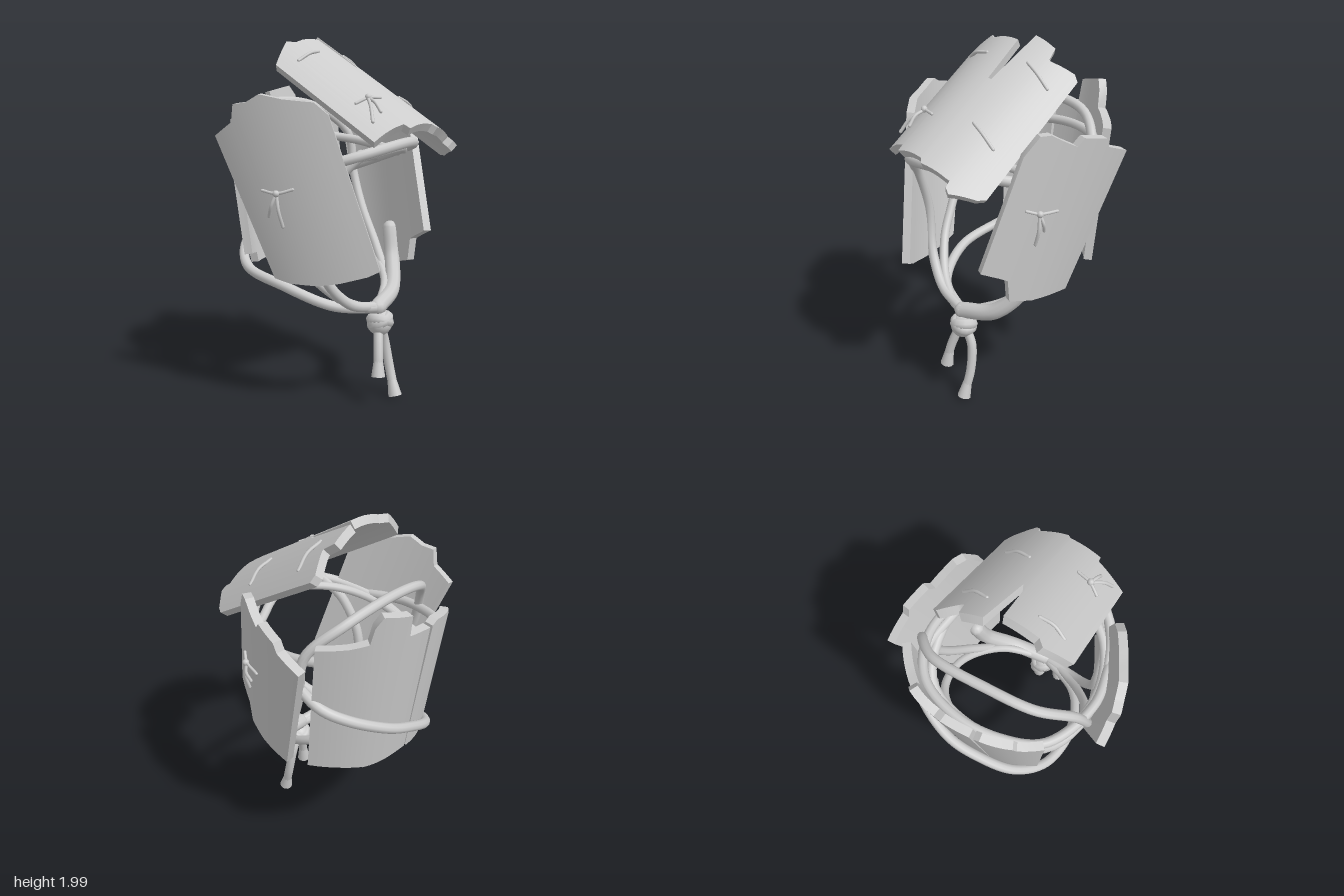
import * as THREE from 'three';
import { toCreasedNormals } from 'three/addons/utils/BufferGeometryUtils.js';

const V = (x, y, z) => new THREE.Vector3(x, y, z);

// Curved sheets: two coordinates in, a point on the outer face out
const side = (s) => (z, y) => {
  const w = z + 0.3 * (y - 1.13);
  return V(s * (0.2 * (y - 1.13) + 0.5 - 0.27 * w - 0.45 * w * w), y, z);
};
const browSheet = (x, z) => {
  const u = x - 0.02;
  return V(x, (1.605 - 0.07 * u - 1.25 * u * u - 0.53 * z) / 0.85, z);
};
const backSheet = (x, y) => {
  const u = x - 0.03;
  return V(x, y, -0.61 + (u > 0 ? 1.89 : 1.4) * Math.abs(u) ** 2.6 - 0.15 * (y - 1.55));
};

function normalAt(sheet, a, b, out) {
  const e = 0.01, p = sheet(a, b);
  const n = sheet(a + e, b).sub(p).cross(sheet(a, b + e).sub(p)).normalize();
  return n.dot(out) < 0 ? n.negate() : n;
}

export function createModel() {
  const model = new THREE.Group();
  const mat = new THREE.MeshStandardMaterial({ color: 0xcccccc, side: THREE.DoubleSide });

  function add(name, geo, parent = model) {
    const m = new THREE.Mesh(geo, mat);
    m.name = name;
    parent.add(m);
    return m;
  }

  // Thick bent board; each column runs from one end (a0,b0) to the other (a1,b1)
  function plate(name, sheet, out, cols, thick = 0.045) {
    const rings = [];
    const ring = ([a0, b0, a1, b1]) => {
      const p = sheet(a0, b0), q = sheet(a1, b1);
      const pi = p.clone().addScaledVector(normalAt(sheet, a0, b0, out), -thick);
      const qi = q.clone().addScaledVector(normalAt(sheet, a1, b1, out), -thick);
      rings.push([p, q, qi, pi]);
    };
    cols.forEach((c, i) => {
      if (i) {
        const prev = cols[i - 1], steps = Math.abs(c[0] - prev[0]) > 0.06 ? 4 : 1;
        for (let k = 1; k <= steps; k++) ring(c.map((v, j) => prev[j] + (v - prev[j]) * k / steps));
      } else ring(c);
    });
    const tris = [];
    const quad = (a, b, c, d) => tris.push([a, b, c], [a, c, d]);
    for (let i = 1; i < rings.length; i++)
      for (let k = 0; k < 4; k++) {
        const l = (k + 1) % 4;
        quad(rings[i - 1][k], rings[i][k], rings[i][l], rings[i - 1][l]);
      }
    quad(...rings[0]);
    quad(...[...rings[rings.length - 1]].reverse());
    // Turn the faces outward
    const centre = rings[0][0];
    let vol = 0;
    for (const [a, b, c] of tris)
      vol += a.clone().sub(centre).dot(b.clone().sub(centre).cross(c.clone().sub(centre)));
    const pts = tris.flatMap(([a, b, c]) => (vol < 0 ? [a, c, b] : [a, b, c]));
    const geo = new THREE.BufferGeometry().setFromPoints(pts);
    geo.computeVertexNormals();
    add(name, toCreasedNormals(geo, 0.5));
  }

  function rope(name, pts, r, closed = false, parent = model) {
    const curve = new THREE.CatmullRomCurve3(pts.map((p) => (p.isVector3 ? p : V(...p))), closed);
    add(name, new THREE.TubeGeometry(curve, pts.length * 7, r, 10, closed), parent);
    if (!closed) for (const t of [0, 1]) {
      add(name + 'End', new THREE.SphereGeometry(r, 10, 6), parent).position.copy(curve.getPoint(t));
    }
  }

  // Small cord lying on a board, given in the board's own coordinates
  function stitch(name, sheet, out, pts, r = 0.01, parent = model) {
    rope(name, pts.map(([a, b, lift = 0.008]) =>
      sheet(a, b).addScaledVector(normalAt(sheet, a, b, out), lift)), r, false, parent);
  }
  function tie(name, sheet, out, [a, b], strand, tails) {
    const g = new THREE.Group();
    g.name = name;
    model.add(g);
    stitch('tieStrand', sheet, out, [strand[0], [a, b, 0.02], strand[1]], 0.008, g);
    for (const [ta, tb] of tails)
      stitch('tieTail', sheet, out, [[a, b, 0.02], [(a + ta) / 2, (b + tb) / 2, 0.035], [ta, tb, 0.02]], 0.009, g);
    add('tieKnot', new THREE.SphereGeometry(0.018, 10, 8), g).position
      .copy(sheet(a, b).addScaledVector(normalAt(sheet, a, b, out), 0.025));
  }

  const up = V(0, 0.85, 0.53), left = V(1, 0, 0), right = V(-1, 0, 0), back = V(0, 0, -1);
  const leftSheet = side(1), rightSheet = side(-1);

  // Brow board: columns in x,z from front edge to rear edge, with a split at the rear
  plate('browBoard', browSheet, up, [
    [-0.33, 0.46, -0.33, -0.15], [-0.2, 0.505, -0.19, -0.19], [-0.155, 0.52, -0.155, -0.155],
    [-0.15, 0.555, -0.15, -0.155], [0.03, 0.575, 0.03, -0.14], [0.035, 0.575, 0.04, 0.1],
    [0.055, 0.595, 0.06, 0.1], [0.1, 0.59, 0.1, -0.2], [0.2, 0.575, 0.22, -0.21],
    [0.22, 0.57, 0.23, -0.15], [0.225, 0.6, 0.24, -0.15], [0.25, 0.61, 0.26, -0.16],
    [0.35, 0.52, 0.35, -0.21], [0.375, 0.48, 0.375, -0.2]]);

  // Cheek boards: columns in z,y from bottom to top
  plate('leftCheekBoard', leftSheet, left, [
    [0.44, 0.93, 0.26, 1.535], [0.39, 0.905, 0.19, 1.63], [0.35, 0.885, 0.14, 1.63],
    [0.31, 0.862, 0.085, 1.595], [0.295, 0.735, 0.08, 1.592],
    [0.16, 0.7, 0.005, 1.55], [0.14, 0.7, -0.03, 1.59], [0.06, 0.695, -0.17, 1.56],
    [0.04, 0.695, -0.19, 1.51], [-0.07, 0.69, -0.34, 1.455]]);
  plate('rightCheekBoard', rightSheet, right, [
    [0.465, 0.8, 0.25, 1.58], [0.41, 0.77, 0.19, 1.64], [0.28, 0.73, 0.05, 1.655],
    [0.17, 0.71, -0.06, 1.68], [0.1, 0.71, -0.13, 1.64], [0.04, 0.71, -0.2, 1.63],
    [0.02, 0.71, -0.22, 1.54], [-0.07, 0.73, -0.33, 1.47]]);

  // Back boards: columns in x,y from bottom to top
  plate('backBoardWide', backSheet, back, [
    [-0.037, 0.745, -0.025, 1.55], [0.1, 0.75, 0.13, 1.57], [0.11, 0.75, 0.14, 1.69],
    [0.26, 0.755, 0.29, 1.725], [0.27, 0.76, 0.32, 1.67], [0.29, 0.765, 0.33, 1.58],
    [0.36, 0.78, 0.4, 1.56], [0.48, 0.8, 0.5, 1.545]]);
  plate('backBoardNarrow', backSheet, back, [
    [-0.3, 0.79, -0.36, 1.47], [-0.21, 0.78, -0.25, 1.5], [-0.2, 0.725, -0.235, 1.54],
    [-0.06, 0.735, -0.08, 1.57], [-0.043, 0.75, -0.045, 1.55]]);

  // Cords that hold the boards together
  rope('outerBackCord', [[0.42, 1.32, 0], [0.47, 1.26, -0.2], [0.47, 1.2, -0.35], [0.38, 1.13, -0.45],
    [0.18, 1.02, -0.545], [0, 0.93, -0.55], [-0.2, 0.82, -0.5], [-0.33, 0.73, -0.36],
    [-0.36, 0.67, -0.1], [-0.25, 0.57, 0.15], [0, 0.52, 0.28]], 0.028);
  rope('crownCord', [[0, 0.53, 0.28], [0.22, 0.6, 0.2], [0.36, 0.78, 0.04], [0.43, 1, -0.11],
    [0.47, 1.2, -0.2], [0.46, 1.45, -0.24], [0.31, 1.6, -0.355], [0, 1.64, -0.38], [-0.24, 1.6, -0.36],
    [-0.41, 1.46, -0.26], [-0.46, 1.2, -0.18], [-0.42, 1, -0.1], [-0.36, 0.78, 0.05],
    [-0.2, 0.59, 0.2]], 0.026, true);
  rope('browCord', [[0, 1.43, 0.44], [0.3, 1.4, 0.3], [0.44, 1.3, -0.03], [0.36, 1.18, -0.36],
    [0, 1.09, -0.46], [-0.34, 1.13, -0.37], [-0.45, 1.25, -0.03], [-0.31, 1.37, 0.34]], 0.028, true);
  rope('innerCord', [[0, 0.52, 0.28], [0.24, 0.64, 0.17], [0.38, 0.8, -0.06], [0.36, 0.92, -0.28],
    [0.22, 1.03, -0.42], [0.02, 1.09, -0.46], [-0.3, 1.12, -0.39], [-0.44, 1.24, -0.06],
    [-0.33, 1.33, 0.24], [0, 1.4, 0.38], [0.32, 1.37, 0.24]], 0.024);
  rope('upperBackCord', [[0.42, 1.35, 0.15], [0.45, 1.41, -0.2], [0.34, 1.44, -0.42], [0.12, 1.45, -0.52],
    [-0.12, 1.43, -0.52], [-0.34, 1.38, -0.42], [-0.46, 1.33, -0.12], [-0.43, 1.3, 0.14]], 0.026);
  rope('chinStrap', [[0.38, 0.9, 0.12], [0.34, 0.74, 0.16], [0.21, 0.59, 0.24], [0, 0.53, 0.28]], 0.045);
  rope('rightJawCord', [[0, 0.53, 0.28], [-0.2, 0.58, 0.23], [-0.34, 0.74, 0.17],
    [-0.38, 1.0, 0.15], [-0.35, 1.25, 0.25], [-0.28, 1.38, 0.35]], 0.028);

  // Chin knot and its flared tails
  const knot = new THREE.Group();
  knot.name = 'chinKnot';
  model.add(knot);
  const core = add('knotCore', new THREE.SphereGeometry(0.07, 16, 12), knot);
  core.position.set(0.01, 0.44, 0.285);
  for (const [rx, ry, rz] of [[1.2, 0.3, 0.4], [1.5, -0.4, -0.5]]) {
    const t = add('knotLoop', new THREE.TorusGeometry(0.045, 0.034, 8, 18), knot);
    t.position.set(0.015, 0.45, 0.285);
    t.rotation.set(rx, ry, rz);
  }
  for (const pts of [
    [[-0.01, 0.42, 0.29], [-0.04, 0.34, 0.31], [-0.062, 0.26, 0.325], [-0.07, 0.21, 0.33]],
    [[0.03, 0.42, 0.28], [0.07, 0.33, 0.28], [0.083, 0.18, 0.305], [0.075, 0.06, 0.34]]]) {
    rope('knotTail', pts, 0.026, false, knot);
    const a = V(...pts[2]), b = V(...pts[3]), dir = b.clone().sub(a).normalize();
    const tip = add('tailTip', new THREE.CylinderGeometry(0.025, 0.038, 0.09, 12), knot);
    tip.position.copy(b);
    tip.quaternion.setFromUnitVectors(V(0, -1, 0), dir);
  }

  // Stitches and ties
  for (const [a, b, c, d] of [[-0.24, -0.07, -0.1, -0.045], [0.16, -0.065, 0.3, -0.05], [0.14, 0.315, 0.28, 0.33]])
    stitch('browStitch', browSheet, up, [[a, b, 0], [(a + c) / 2, (b + d) / 2 + 0.005, 0.012], [c, d, 0]], 0.009);
  tie('browTie', browSheet, up, [-0.18, 0.32], [[-0.24, 0.29], [-0.11, 0.35]], [[-0.27, 0.41], [-0.2, 0.41]]);
  tie('leftTie', leftSheet, left, [0.18, 1.23], [[0.24, 1.25], [0.08, 1.22]], [[0.19, 1.06], [0.15, 1.13]]);
  tie('rightTie', rightSheet, right, [0, 1.19], [[0.08, 1.21], [-0.08, 1.2]], [[0.02, 1.02], [-0.05, 1.07]]);

  return model;
}
